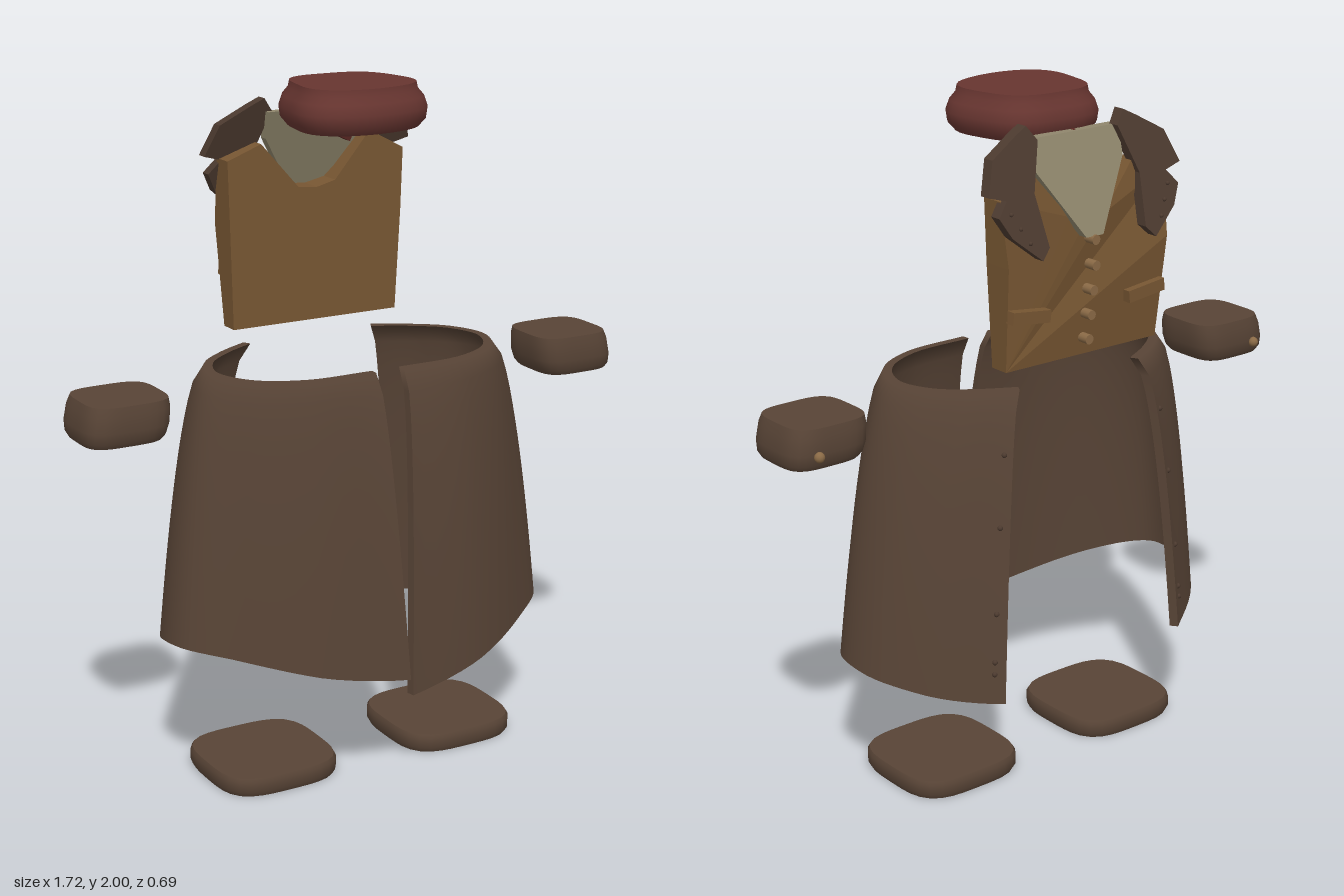
import * as THREE from 'three';
import { toCreasedNormals } from 'three/addons/utils/BufferGeometryUtils.js';
import { ParametricGeometry } from 'three/addons/geometries/ParametricGeometry.js';

const mat = (name, color, side = THREE.FrontSide) => {
  const m = new THREE.MeshStandardMaterial({ color, side });
  m.name = name;
  return m;
};
const V2 = (x, y) => new THREE.Vector2(x, y);

export function createModel() {
  const coat = mat('coat brown', 0x584436, THREE.DoubleSide);
  const lapelMat = mat('lapel brown', 0x4c3a2f);
  const vestMat = mat('vest tan', 0x775632);
  const shirtMat = mat('shirt beige', 0x8f866c);
  const hatMat = mat('hat red', 0x673530);
  const ribbonMat = mat('ribbon dark red', 0x54241f);
  const brass = mat('button bronze', 0x8a6a46);

  const group = new THREE.Group();
  const add = (name, geo, material, x = 0, y = 0, z = 0) => {
    const m = new THREE.Mesh(geo, material);
    m.name = name;
    m.position.set(x, y, z);
    group.add(m);
    return m;
  };

  // Move every vertex by a rule
  const warp = (geo, rule) => {
    const p = geo.attributes.position, v = new THREE.Vector3();
    for (let i = 0; i < p.count; i++) {
      v.fromBufferAttribute(p, i);
      rule(v);
      p.setXYZ(i, v.x, v.y, v.z);
    }
    return geo;
  };

  // Lathe turned into a rounded square of half sizes rx, rz
  const pad = (profile, rx, rz, power, rule = () => {}) => {
    const geo = new THREE.LatheGeometry(profile.map(([r, y]) => V2(r, y)), 40);
    warp(geo, v => {
      const r = Math.hypot(v.x, v.z);
      if (r > 1e-6) {
        const k = (Math.abs(v.x / r) ** power + Math.abs(v.z / r) ** power) ** (-1 / power);
        v.x *= k * rx;
        v.z *= k * rz;
      }
      rule(v);
    });
    return toCreasedNormals(geo, 0.8);
  };

  // Flat outline with thickness, back at z = 0 and front at z = -1, then warped
  const slab = (pts, rule) => {
    const geo = new THREE.ExtrudeGeometry(new THREE.Shape(pts.map(([x, y]) => V2(x, y))),
      { depth: 1, bevelEnabled: false });
    geo.translate(0, 0, -1);
    warp(geo, rule);
    geo.computeVertexNormals();
    return geo;
  };

  // Beret, slightly lumpy
  add('hat', pad([[0, 1.885], [0.6, 1.88], [0.88, 1.876], [0.98, 1.9], [1, 1.93], [0.95, 1.96],
    [0.87, 1.98], [0.85, 2], [0, 2]], 0.195, 0.185, 2.7, v => {
    const a = Math.atan2(v.z, v.x), k = 1 + 0.03 * Math.sin(3 * a + 0.6) + 0.02 * Math.sin(5 * a);
    v.x *= k;
    v.z *= k;
  }), hatMat, 0.005, 0, -0.012);
  const ribbon = add('hatRibbon', new THREE.BoxGeometry(0.15, 0.045, 0.03), ribbonMat, 0.04, 1.85, -0.195);
  ribbon.rotation.z = -0.45;

  // Vest with a V neck, bulging forward at the chest
  const vestFront = y => y < 1.58 ? -0.26 - (y - 1.28) * 0.12 : -0.296 + (y - 1.58) * 0.15;
  add('vest', slab([[-0.275, 1.28], [0.262, 1.28], [0.28, 1.58], [0.287, 1.76], [0.175, 1.82],
    [0.06, 1.685], [0, 1.67], [-0.06, 1.675], [-0.18, 1.81], [-0.287, 1.77], [-0.282, 1.58]],
  v => { v.z = v.z < -0.5 ? vestFront(v.y) : -0.2; }), vestMat);

  // Shirt front, leaning back towards the neck
  add('shirt', slab([[-0.03, 1.63], [0.03, 1.63], [0.155, 1.82], [0.16, 1.9], [-0.16, 1.9], [-0.155, 1.82]],
    v => { v.z = -0.19 - (1.9 - v.y) * 0.36 + v.z * 0.03; }), shirtMat);

  // Vest buttons
  for (let i = 0; i < 5; i++) {
    const y = 1.62 - i * 0.072;
    const b = add('vestButton', new THREE.CylinderGeometry(0.014, 0.014, 0.035, 12), brass, 0, y, vestFront(y) - 0.016);
    b.rotation.x = Math.PI / 2;
  }

  for (const s of [1, -1]) {
    // Pocket welts
    const pocket = add('vestPocket', new THREE.BoxGeometry(0.13, 0.035, 0.03), vestMat, s * 0.205, 1.435, -0.288);
    pocket.rotation.z = s * 0.12;

    // Notched lapels lying over the shoulders
    const outline = [[0.14, 1.9], [0.17, 1.94], [0.21, 1.92], [0.3, 1.87], [0.335, 1.78], [0.28, 1.765],
      [0.315, 1.725], [0.285, 1.67], [0.2, 1.6], [0.17, 1.63], [0.185, 1.77]];
    const lapelZ = y => -0.195 - (1.94 - y) * 0.33;
    add('lapel', slab(outline.map(([x, y]) => [s * x, y]),
      v => { v.z = lapelZ(v.y) + v.z * 0.035; }), lapelMat);
    for (let i = 0; i < 3; i++) {
      const y = 1.73 - i * 0.04;
      add('lapelStud', new THREE.SphereGeometry(0.006, 8, 6), lapelMat, s * (0.275 - i * 0.022), y, lapelZ(y) - 0.036);
    }

    // Sleeve cuffs, leaning outward at the bottom, each with a button
    add('cuff', pad([[0, 1.085], [0.88, 1.085], [0.96, 1.1], [1, 1.13], [0.98, 1.175], [0.93, 1.2], [0, 1.2]],
      0.128, 0.122, 4, v => { v.x += s * (1.14 - v.y) * 0.14; }), coat, s * 0.732, 0, -0.012);
    add('cuffButton', new THREE.SphereGeometry(0.015, 12, 8), brass, s * 0.79, 1.125, -0.137);

    // Shoe pads
    add('foot', pad([[0, 0], [0.96, 0], [1, 0.015], [1, 0.045], [0.97, 0.056], [0, 0.056]],
      0.19, 0.187, 3.6), coat, s * 0.302, 0, 0);
  }

  // Coat skirt: each half runs from the back slit round to the open front
  const curve = pts => new THREE.CatmullRomCurve3(pts.map(([x, z]) => new THREE.Vector3(x, 0, z)));
  const waist = curve([[0.045, 0.215], [0.25, 0.205], [0.39, 0.13], [0.45, 0], [0.41, -0.12], [0.32, -0.2], [0.215, -0.26]]);
  const hem = curve([[0.004, 0.347], [0.27, 0.295], [0.46, 0.2], [0.595, 0.08], [0.6, -0.05], [0.5, -0.2], [0.325, -0.335]]);
  const outer = (u, v) => {
    const w = Math.sqrt(v);
    const p = waist.getPoint(u).lerp(hem.getPoint(u), w);
    p.x = p.x + (u < 0.15 ? (1 - u / 0.15) * 0.041 * (w - v) : 0);
    return p;
  };
  for (const s of [1, -1]) {
    const at = (u, v, d, target) => {
      const p = outer(u, v);
      const t = outer(Math.min(1, u + 0.01), v).sub(outer(Math.max(0, u - 0.01), v)).normalize();
      const low = (s > 0 ? 0.29 : 0.34) + 0.1 * Math.sin(Math.PI * u) ** 1.5 + 0.045 * u;
      target.set(s * (p.x + t.z * d * 0.025), THREE.MathUtils.lerp(1.222, low, v), p.z - t.x * d * 0.025);
    };
    const dir = u => (s > 0 ? 1 - u : u);
    const sheet = (name, fn, nu, nv) => add(name, new ParametricGeometry(fn, nu, nv), coat);
    sheet('skirtOuter', (u, v, t) => at(dir(u), v, 0, t), 36, 16);
    sheet('skirtLining', (u, v, t) => at(dir(1 - u), v, 1, t), 36, 16);
    sheet('skirtWaistEdge', (u, v, t) => at(dir(u), 0, 1 - v, t), 36, 1);
    sheet('skirtHemEdge', (u, v, t) => at(dir(u), 1, v, t), 36, 1);
    sheet('skirtSlitEdge', (u, v, t) => at(0, v, s > 0 ? u : 1 - u, t), 1, 16);
    sheet('skirtFrontEdge', (u, v, t) => at(1, v, s > 0 ? 1 - u : u, t), 1, 16);

    // Small studs down the front edges
    for (const v of [0.19, 0.42, 0.7, 0.86, 0.9]) {
      const p = new THREE.Vector3();
      at(0.975, v, 0, p);
      add('skirtStud', new THREE.SphereGeometry(0.008, 8, 6), lapelMat, p.x, p.y, p.z);
    }
  }
  return group;
}
